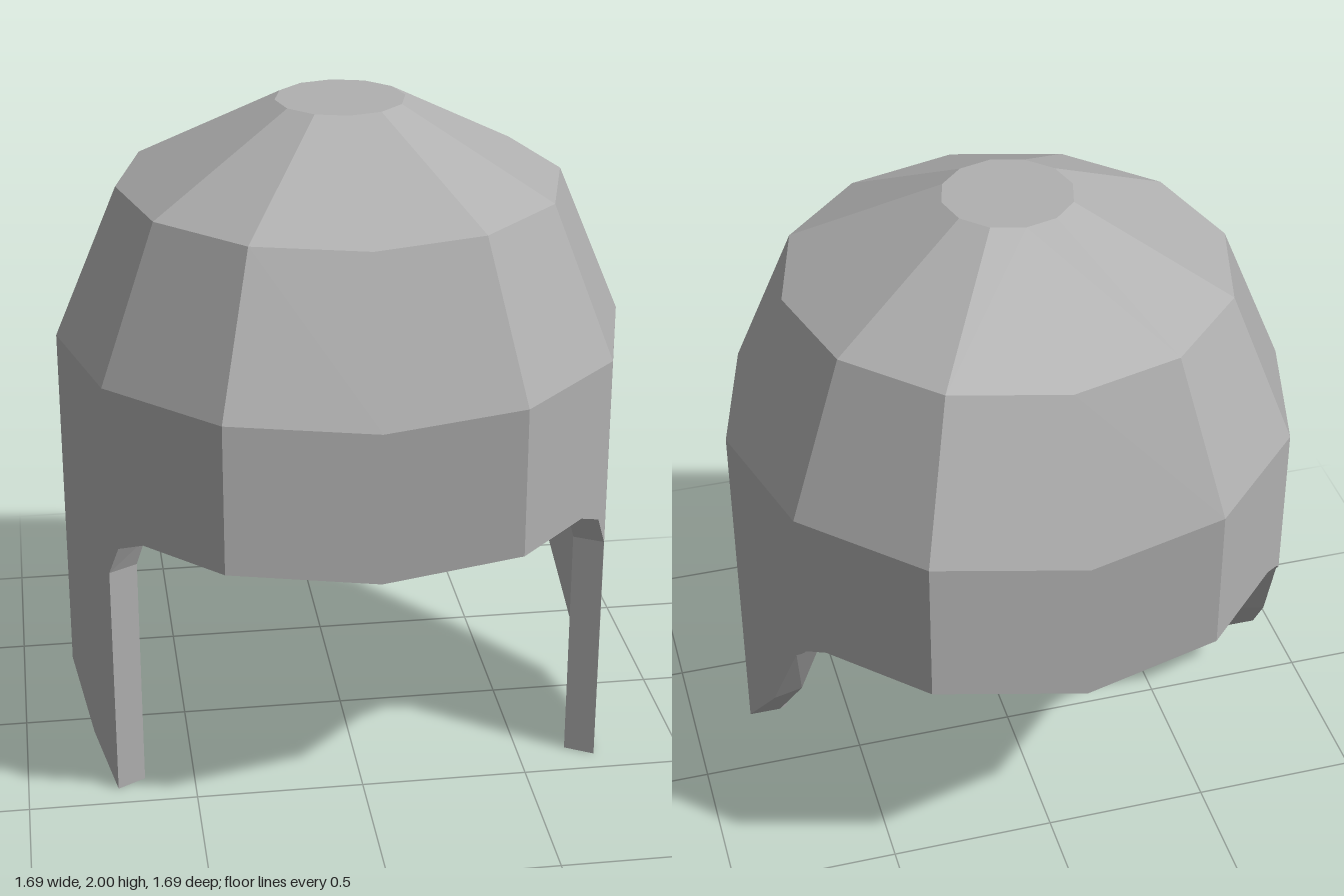
import * as THREE from 'three';

const steel = new THREE.MeshStandardMaterial({ color: 0xb0b0b0 });
steel.name = 'steel grey';

// Profiles above the lower edge: [radius, height]
const OUTER = [[0.845, 1.31], [0.655, 1.76], [0.19, 2], [0, 2]];
const INNER = [[0.75, 1.29], [0.58, 1.69], [0.17, 1.91], [0, 1.91]];

// Lower edge from front centre to back centre: [twelfths of a turn, height]
const EDGE = [
  [0, 0.86], [1, 0.86], [1.69, 0.86], [1.91, 0.82], [2, 0.73],
  [2, 0], [2.53, 0.07], [3, 0.225], [3.47, 0.46], [3.9, 0.78],
  [4, 0.82], [4.03, 0.835], [4.19, 0.86], [5, 0.86], [6, 0.86],
];

// Facing direction of each twelfth; the twelfths beside an axis share a plane
const FACING = [0, 45, 90, 90, 135, 180];

// Point on the twelve-sided ring, u in twelfths of a turn from the front
function ringPoint(u, r, y) {
  const k = Math.floor(u);
  const corner = (i) => new THREE.Vector3(
    r * Math.sin(i * Math.PI / 6), y, r * Math.cos(i * Math.PI / 6));
  return corner(k).lerp(corner(k + 1), u - k);
}

// Collects quads together with their mirror images across x = 0
class Surface {
  constructor() {
    this.positions = [];
    this.normals = [];
  }

  triangle(a, b, c, normal) {
    const face = b.clone().sub(a).cross(c.clone().sub(a));
    if (face.length() < 1e-8) return;
    const n = normal ? normal : face.clone().normalize();
    const [p, q] = face.dot(n) < 0 ? [c, b] : [b, c];
    for (const v of [a, p, q]) {
      this.positions.push(v.x, v.y, v.z);
      this.normals.push(n.x, n.y, n.z);
    }
    for (const v of [a, q, p]) {
      this.positions.push(-v.x, v.y, v.z);
      this.normals.push(-n.x, n.y, n.z);
    }
  }

  quad(a, b, c, d, normal) {
    this.triangle(a, b, c, normal);
    this.triangle(a, c, d, normal);
  }

  mesh(name) {
    const g = new THREE.BufferGeometry();
    g.setAttribute('position', new THREE.Float32BufferAttribute(this.positions, 3));
    g.setAttribute('normal', new THREE.Float32BufferAttribute(this.normals, 3));
    const m = new THREE.Mesh(g, steel);
    m.name = name;
    return m;
  }
}

// Normal of a panel from its facing and its slope; sign -1 faces inward
function panelNormal(sector, dr, dy, sign) {
  const a = THREE.MathUtils.degToRad(FACING[sector]);
  return new THREE.Vector3(Math.sin(a) * dy, -dr, Math.cos(a) * dy)
    .normalize().multiplyScalar(sign);
}

// One skin of the helmet: band with cheek guards, then the dome rings
function skin(name, profile, sign) {
  const s = new Surface();
  const [r0, y0] = profile[0];
  for (let i = 0; i < EDGE.length - 1; i++) {
    const [u1, h1] = EDGE[i];
    const [u2, h2] = EDGE[i + 1];
    if (u1 === u2) continue;
    s.quad(ringPoint(u1, r0, h1), ringPoint(u2, r0, h2),
      ringPoint(u2, r0, y0), ringPoint(u1, r0, y0),
      panelNormal(Math.floor(u1), 0, 1, sign));
  }
  for (let j = 0; j < profile.length - 1; j++) {
    const [ra, ya] = profile[j];
    const [rb, yb] = profile[j + 1];
    for (let k = 0; k < 6; k++) {
      s.quad(ringPoint(k, ra, ya), ringPoint(k + 1, ra, ya),
        ringPoint(k + 1, rb, yb), ringPoint(k, rb, yb),
        panelNormal(k, rb - ra, yb - ya, sign));
    }
  }
  return s.mesh(name);
}

// Thickness of the shell along its lower edge
function rim() {
  const s = new Surface();
  const ro = OUTER[0][0];
  const ri = INNER[0][0];
  for (let i = 0; i < EDGE.length - 1; i++) {
    const [u1, h1] = EDGE[i];
    const [u2, h2] = EDGE[i + 1];
    s.quad(ringPoint(u1, ri, h1), ringPoint(u2, ri, h2),
      ringPoint(u2, ro, h2), ringPoint(u1, ro, h1));
  }
  return s.mesh('lowerRim');
}

export function createModel() {
  const helmet = new THREE.Group();
  helmet.name = 'helmet';
  helmet.add(
    skin('outerShell', OUTER, 1),
    skin('innerShell', INNER, -1),
    rim(),
  );
  return helmet;
}
